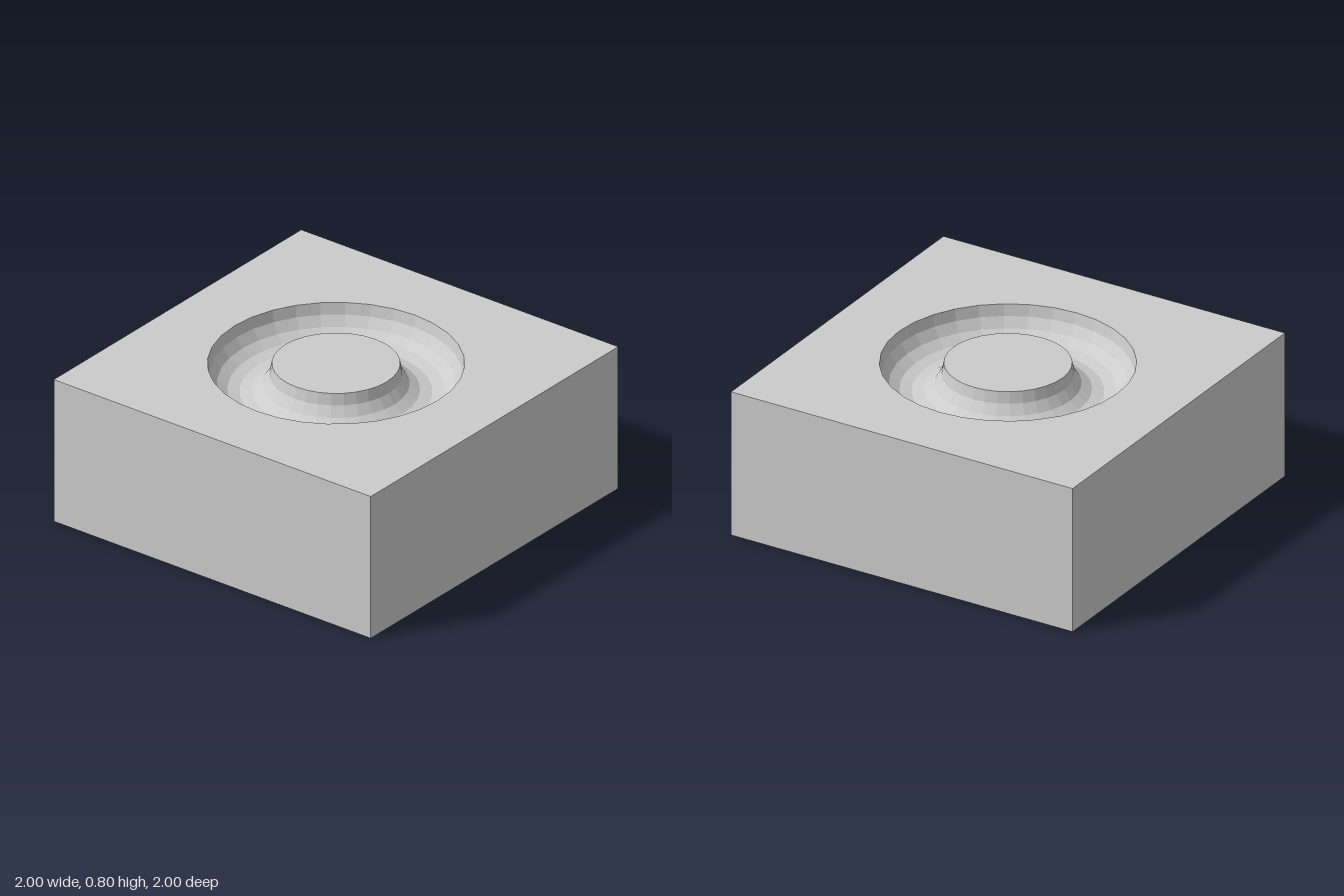
import * as THREE from 'three';

const HEIGHT = 0.8, RING = 0.48, TUBE = 0.16, SIDES = 32, STEPS = 8;

export function createModel() {
  const group = new THREE.Group();
  group.name = 'groovedBlock';
  const material = new THREE.MeshStandardMaterial({ color: 0xcccccc, flatShading: true });
  const add = (name, geometry) => {
    const mesh = new THREE.Mesh(geometry, material);
    mesh.name = name;
    group.add(mesh);
    return mesh;
  };

  // Block sides and base: a box without its top face (third of six faces)
  const box = new THREE.BoxGeometry(2, HEIGHT, 2);
  const index = Array.from(box.index.array);
  index.splice(12, 6);
  box.setIndex(index);
  box.clearGroups();
  add('blockBody', box).position.y = HEIGHT / 2;

  // Square top with a round opening
  const top = new THREE.Shape([[-1, -1], [1, -1], [1, 1], [-1, 1]].map(p => new THREE.Vector2(...p)));
  const rim = [];
  for (let i = 0; i < SIDES; i++) {
    const a = -i / SIDES * Math.PI * 2;
    rim.push(new THREE.Vector2(Math.cos(a), Math.sin(a)).multiplyScalar(RING + TUBE));
  }
  top.holes.push(new THREE.Path(rim));
  const topFace = add('blockTop', new THREE.ShapeGeometry(top));
  topFace.rotation.x = -Math.PI / 2;
  topFace.position.y = HEIGHT;

  // Half-round ring groove, swept from its outer rim to its inner rim
  const profile = [];
  for (let i = 0; i <= STEPS; i++) {
    const a = i / STEPS * Math.PI;
    profile.push(new THREE.Vector2(RING + TUBE * Math.cos(a), HEIGHT - TUBE * Math.sin(a)));
  }
  add('ringGroove', new THREE.LatheGeometry(profile, SIDES));

  // Flat island inside the groove
  const island = add('centerIsland', new THREE.CircleGeometry(RING - TUBE, SIDES));
  island.rotation.x = -Math.PI / 2;
  island.position.y = HEIGHT;

  return group;
}
